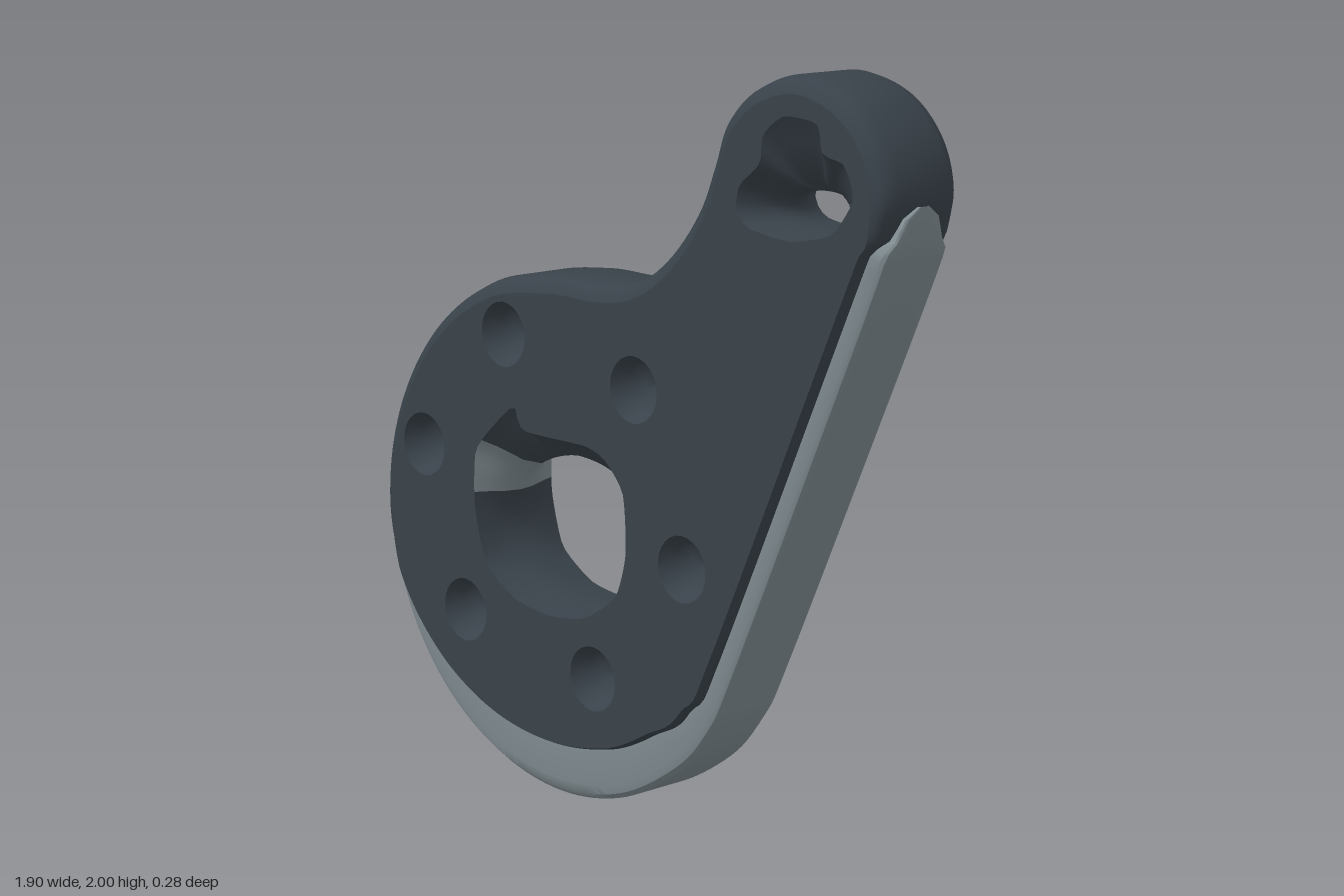
import * as THREE from 'three';
import { toCreasedNormals } from 'three/addons/utils/BufferGeometryUtils.js';

const T = 0.14; // half thickness of the plate
const dark = new THREE.MeshStandardMaterial({ color: 0x39424a, side: THREE.DoubleSide });
dark.name = 'dark slate';
const light = new THREE.MeshStandardMaterial({ color: 0x808c91, side: THREE.DoubleSide });
light.name = 'light grey';

// Skin a list of loops (arrays of [x, y, z]) with quads; keep(i) selects columns
function loft(loops, closed = true, keep = () => true) {
  const n = loops[0].length, pos = [];
  for (let k = 0; k < loops.length - 1; k++) {
    for (let i = 0; i < (closed ? n : n - 1); i++) {
      if (!keep(i)) continue;
      const j = (i + 1) % n;
      const a = loops[k][i], b = loops[k][j], c = loops[k + 1][j], d = loops[k + 1][i];
      pos.push(...a, ...b, ...c, ...a, ...c, ...d);
    }
  }
  const g = new THREE.BufferGeometry();
  g.setAttribute('position', new THREE.Float32BufferAttribute(pos, 3));
  return toCreasedNormals(g, 0.6);
}

// Smooth closed curve through [x, y] points
function spline(pts, n, tension = 0.5) {
  const c = new THREE.CatmullRomCurve3(
    pts.map(([x, y]) => new THREE.Vector3(x, y, 0)), true, 'catmullrom', tension);
  return c.getSpacedPoints(n).slice(0, n);
}

// Opening that narrows from its rim on each face to an ellipse at mid thickness
function hole(rimPts, cx, cy, rx, ry, n) {
  const rim = spline(rimPts, n, 0.3);
  const angles = rim.map(p => Math.atan2(p.y - cy, p.x - cx));
  const waist = angles.map(a => {
    const r = 1 / Math.hypot(Math.cos(a) / rx, Math.sin(a) / ry);
    return [cx + r * Math.cos(a), cy + r * Math.sin(a)];
  });
  const loops = [[T, 0], [0.1, 0.3], [0.05, 0.8], [0, 1], [-0.05, 0.8], [-0.1, 0.3], [-T, 0]]
    .map(([z, f]) => rim.map((p, i) => [
      p.x + (waist[i][0] - p.x) * f, p.y + (waist[i][1] - p.y) * f, z]));
  return { rim, angles, loops };
}

export function createModel() {
  const group = new THREE.Group();
  const add = (name, geometry, material) => {
    const m = new THREE.Mesh(geometry, material);
    m.name = name;
    group.add(m);
    return m;
  };

  // Silhouette: small lobe, concave neck, large disc, straight right flank
  const pts = [[0.65, 2], [0.5, 1.96], [0.4, 1.87], [0.355, 1.76], [0.3, 1.64], [0.2, 1.52],
    [0.08, 1.44], [-0.05, 1.415], [-0.24, 1.415]];
  for (let a = 110; a <= 310; a += 20) {
    const t = a * Math.PI / 180;
    pts.push([-0.24 + 0.71 * Math.cos(t), 0.71 + 0.71 * Math.sin(t)]);
  }
  pts.push([0.33, 0.29], [0.41, 0.44], [0.68, 1.03], [0.9, 1.52], [0.94, 1.64],
    [0.945, 1.76], [0.9, 1.87], [0.8, 1.96]);
  const N = 220;
  const outline = spline(pts, N).map((p, i, all) => {
    const a = all[(i + N - 1) % N], b = all[(i + 1) % N];
    const l = Math.hypot(b.x - a.x, b.y - a.y);
    const nx = (b.y - a.y) / l, ny = (a.x - b.x) / l;
    const down = Math.max(0, -ny); // the lip grows where the edge faces down
    return { x: p.x, y: p.y, nx, ny, depth: 0.14 * down ** 1.2,
      round: 0.045 - 0.035 * Math.min(1, down / 0.3) };
  });
  const at = (p, out, z) => [p.x + p.nx * out, p.y + p.ny * out, z];

  // Rounded edge of the plate
  const layers = [[T, 1], [0.13, 0.5], [0.115, 0.2], [0.085, 0]];
  const profile = [...layers, ...layers.map(([z, f]) => [-z, f]).reverse()];
  const edge = profile.map(([z, f]) => outline.map(p => at(p, -p.depth - p.round * f, z)));
  add('plateEdge', loft(edge), dark);

  // Light lip wrapped around the underside and the right flank
  const lipPts = outline.filter(p => p.ny < -0.04);
  const section = [[1, 1.15], [1, 0.3], [0.94, 0.1], [0.8, 0], [0.3, 0]];
  const lipSection = [...section, ...section.map(([z, f]) => [-z, f]).reverse()];
  const lip = lipSection.map(([z, f]) => lipPts.map(p => {
    const half = 0.11 * Math.sqrt(Math.min(1, (-p.ny - 0.04) / 0.28));
    return at(p, 0.003 - (p.depth + 0.006) * f, z * half);
  }));
  add('lip', loft(lip, false), light);

  // Large centre opening with two light patches on its upper wall
  const big = hole([[0.06, 0.72], [0.05, 0.88], [-0.02, 0.96], [-0.1, 0.985], [-0.34, 0.99],
    [-0.38, 1.05], [-0.48, 0.97], [-0.54, 0.9], [-0.545, 0.75], [-0.5, 0.6], [-0.38, 0.52],
    [-0.24, 0.5], [-0.1, 0.52], [0.02, 0.6]], -0.24, 0.715, 0.29, 0.198, 72);
  const patch = i => {
    const s = Math.abs(Math.cos(big.angles[i])), up = Math.sin(big.angles[i]) > 0;
    return up && s > 0.76 && s < 0.96;
  };
  add('centreHoleWall', loft(big.loops, true, i => !patch(i)), dark);
  add('centreHolePatches', loft(big.loops, true, patch), light);

  // Small irregular opening in the upper lobe
  const small = hole([[0.85, 1.72], [0.82, 1.8], [0.75, 1.82], [0.73, 1.89], [0.62, 1.9],
    [0.55, 1.85], [0.54, 1.78], [0.47, 1.72], [0.46, 1.66], [0.5, 1.62], [0.64, 1.6],
    [0.78, 1.63]], 0.635, 1.66, 0.11, 0.05, 48);
  add('lobeHoleWall', loft(small.loops), dark);

  // Flat faces, pierced by the openings and the ring of dimples
  const dimples = [[-0.42, 1.24], [0.09, 1.16], [-0.76, 0.89], [0.27, 0.72],
    [-0.59, 0.45], [-0.07, 0.36]];
  const R = 0.088;
  const shape = new THREE.Shape(edge[0].map(p => new THREE.Vector2(p[0], p[1])));
  for (const h of [big, small]) {
    shape.holes.push(new THREE.Path(h.rim.map(p => new THREE.Vector2(p.x, p.y))));
  }
  for (const [x, y] of dimples) {
    shape.holes.push(new THREE.Path().absarc(x, y, R, 0, Math.PI * 2, true));
  }
  const face = new THREE.ShapeGeometry(shape, 12);
  const bowl = new THREE.LatheGeometry([[0, -0.08], [0.04, -0.073], [0.068, -0.045], [R, 0]]
    .map(p => new THREE.Vector2(...p)), 24).rotateX(Math.PI / 2);
  for (const s of [1, -1]) {
    const side = s > 0 ? 'front' : 'back';
    const f = add(side + 'Face', face, dark);
    f.position.z = s * T;
    f.scale.z = s;
    if (s < 0) { f.scale.set(-1, 1, 1); f.rotation.y = Math.PI; }
    dimples.forEach(([x, y], i) => {
      const d = add(side + 'Dimple' + (i + 1), bowl, dark);
      d.position.set(x, y, s * T);
      if (s < 0) d.rotation.y = Math.PI;
    });
  }
  return group;
}
